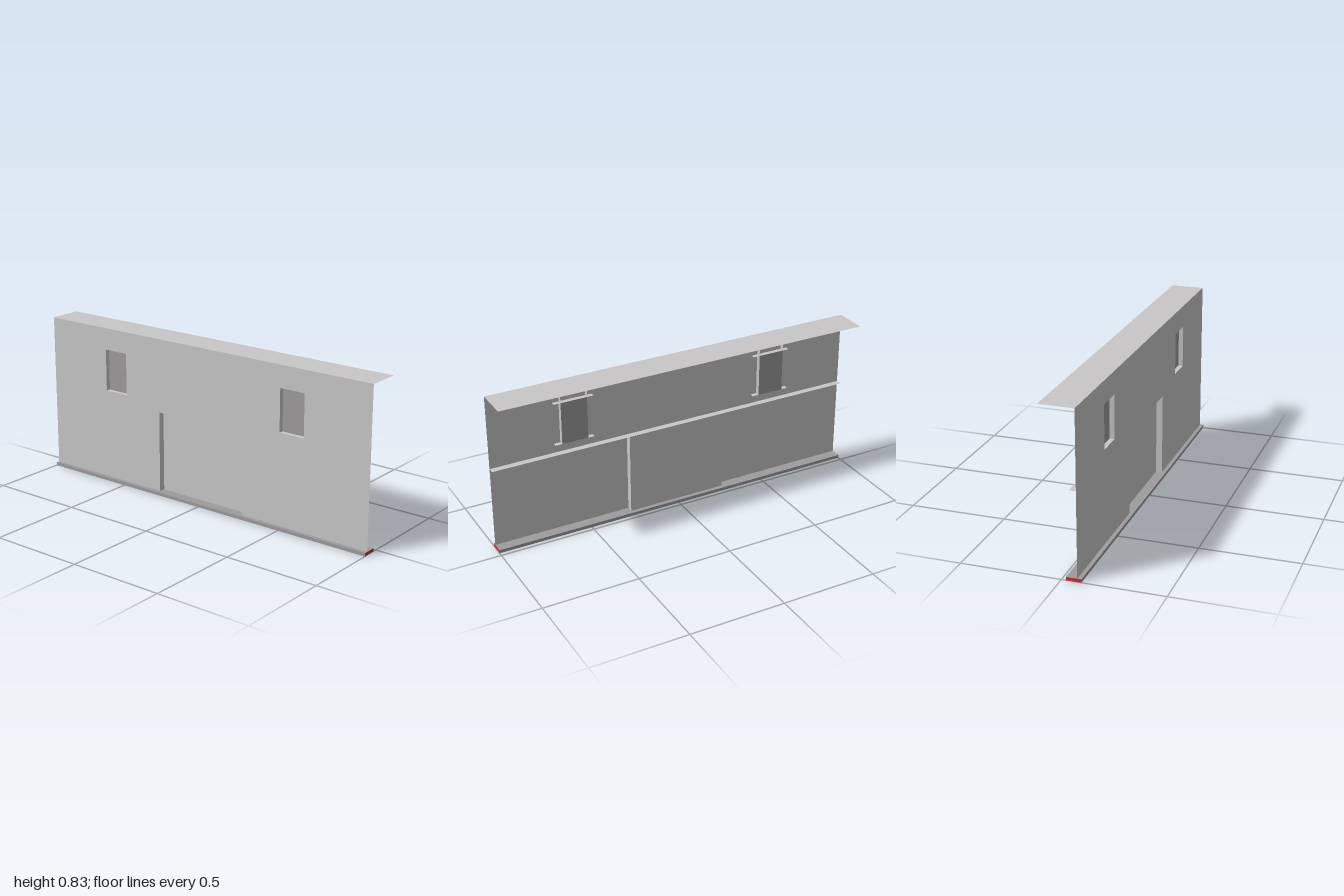
import * as THREE from 'three';

const wallGrey = new THREE.MeshStandardMaterial({ color: 0xc8c6c7, side: THREE.DoubleSide });
wallGrey.name = 'wallGrey';
const darkGrey = new THREE.MeshStandardMaterial({ color: 0x9d9b9c, side: THREE.DoubleSide });
darkGrey.name = 'darkGrey';
const endRed = new THREE.MeshStandardMaterial({ color: 0xd32f2f });
endRed.name = 'endRed';

const WALL_Z = 0.077, TOP = 0.835, BASE = 0.017;
const DOOR = { x: 0.267, top: 0.447, z: 0.044 };
const WIN = { x: 0.558, half: 0.07, low: 0.497, high: 0.72, z: 0.053 };

function add(parent, name, geometry, material) {
  const mesh = new THREE.Mesh(geometry, material);
  mesh.name = name;
  parent.add(mesh);
  return mesh;
}

// Upright sheet facing the front
const facing = (x0, x1, y0, y1, z) =>
  new THREE.PlaneGeometry(x1 - x0, y1 - y0).translate((x0 + x1) / 2, (y0 + y1) / 2, z);
// Level sheet
const level = (x0, x1, z0, z1, y) =>
  new THREE.PlaneGeometry(x1 - x0, z1 - z0).rotateX(-Math.PI / 2).translate((x0 + x1) / 2, y, (z0 + z1) / 2);
// Upright sheet facing sideways
const sideways = (y0, y1, z0, z1, x) =>
  new THREE.PlaneGeometry(z1 - z0, y1 - y0).rotateY(Math.PI / 2).translate(x, (y0 + y1) / 2, (z0 + z1) / 2);

function rectangle(Type, x0, x1, y0, y1) {
  return new Type([[x0, y0], [x1, y0], [x1, y1], [x0, y1]].map(p => new THREE.Vector2(...p)));
}

export function createModel() {
  const model = new THREE.Group();
  model.name = 'wallSection';

  // Wall sheet with a doorway and two window openings
  const outline = new THREE.Shape([
    [-1, BASE], [-DOOR.x, BASE], [-DOOR.x, DOOR.top], [DOOR.x, DOOR.top],
    [DOOR.x, BASE], [1, BASE], [1, TOP], [-1, TOP],
  ].map(p => new THREE.Vector2(...p)));
  for (const s of [-1, 1]) {
    const c = s * WIN.x;
    outline.holes.push(rectangle(THREE.Path, c - WIN.half, c + WIN.half, WIN.low, WIN.high));
  }
  add(model, 'wall', new THREE.ShapeGeometry(outline).translate(0, 0, WALL_Z), wallGrey);

  // Roof strip and the long ledge behind the wall
  add(model, 'roof', level(-1, 1, -0.097, WALL_Z, TOP), wallGrey);
  add(model, 'ledge', level(-1, 1, DOOR.z, WALL_Z, DOOR.top), wallGrey);

  // Recessed door
  const door = new THREE.Group();
  door.name = 'door';
  model.add(door);
  add(door, 'doorPanel', facing(-DOOR.x, DOOR.x, BASE, DOOR.top, DOOR.z), wallGrey);
  for (const s of [-1, 1]) {
    add(door, 'doorJamb', sideways(BASE, DOOR.top, DOOR.z, WALL_Z, s * DOOR.x), wallGrey);
  }

  // Recessed windows: pane, tall jambs up to the roof, sill and head
  for (const s of [-1, 1]) {
    const win = new THREE.Group();
    win.name = s > 0 ? 'leftWindow' : 'rightWindow';
    win.position.x = s * WIN.x;
    model.add(win);
    add(win, 'windowPane', facing(-WIN.half, WIN.half, WIN.low, WIN.high, WIN.z), darkGrey);
    for (const t of [-1, 1]) {
      add(win, 'windowJamb', sideways(WIN.low, TOP, WIN.z, WALL_Z, t * WIN.half), wallGrey);
    }
    add(win, 'windowSill', level(-0.105, 0.105, WIN.z, WALL_Z, WIN.low), wallGrey);
    add(win, 'windowHead', level(-0.105, 0.105, WIN.z, WALL_Z, WIN.high), wallGrey);
  }

  // Base rail with red ends
  add(model, 'baseRail', new THREE.BoxGeometry(2, BASE, 0.075).translate(0, BASE / 2, 0.0595),
    [endRed, endRed, darkGrey, darkGrey, darkGrey, darkGrey]);

  return model;
}
